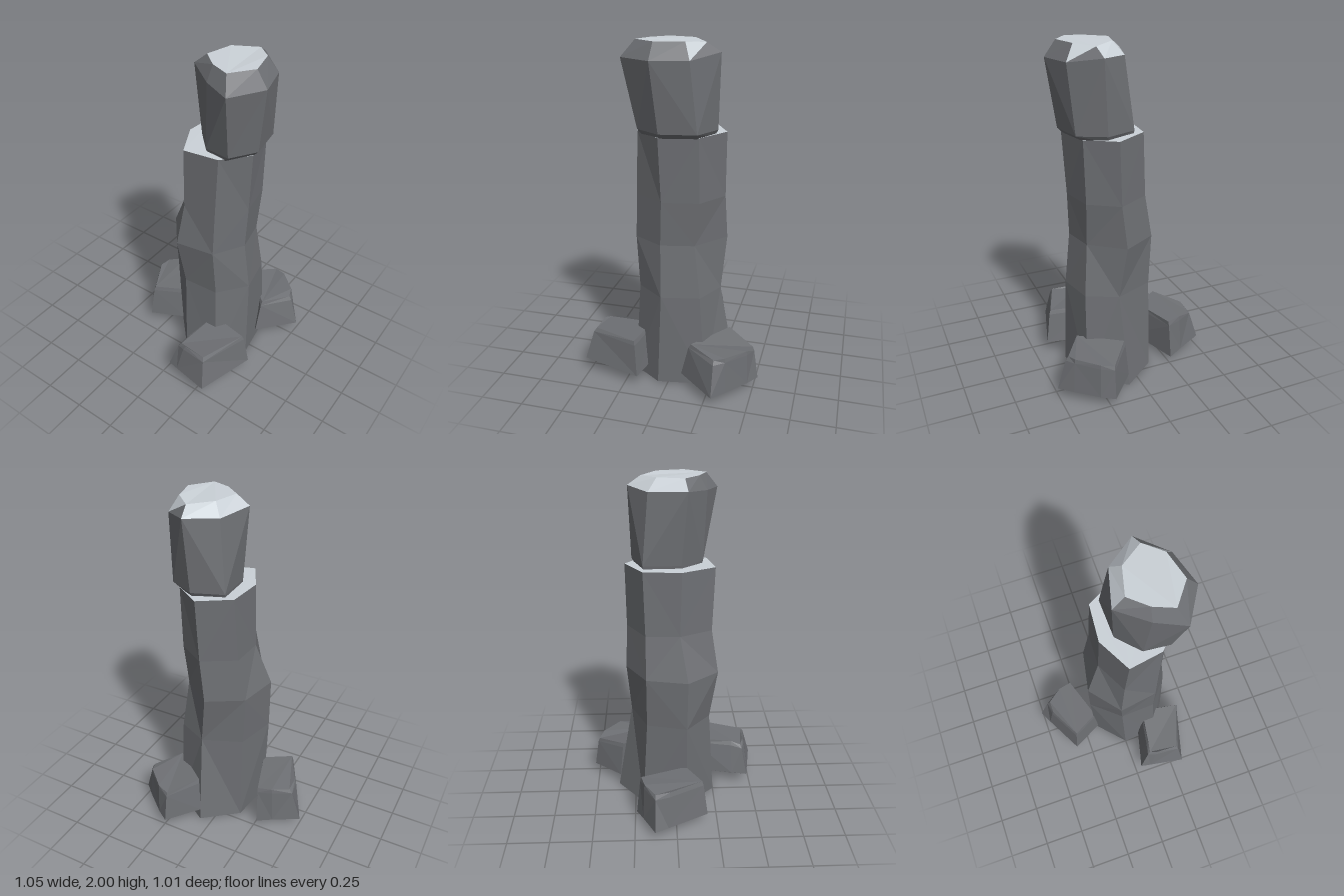
import * as THREE from 'three';

const stone = new THREE.MeshStandardMaterial({ color: 0x6e7074, flatShading: true, side: THREE.DoubleSide });
stone.name = 'darkStone';
const pale = new THREE.MeshStandardMaterial({ color: 0xcbd2d8, flatShading: true });
pale.name = 'paleStone';

// Facets from a flat list of corner points
function facets(name, points, material) {
  const g = new THREE.BufferGeometry();
  g.setAttribute('position', new THREE.Float32BufferAttribute(points.flat(), 3));
  g.computeVertexNormals();
  const m = new THREE.Mesh(g, material);
  m.name = name;
  return m;
}

// A ring of [x, z] corners, anticlockwise from above, lifted to y (number or list)
const ring = (y, xz) => xz.map(([x, z], i) => [x, Array.isArray(y) ? y[i] : y, z]);

// Two triangles for every side between neighbouring rings
function walls(rings) {
  const out = [];
  for (let r = 0; r + 1 < rings.length; r++) {
    const a = rings[r], b = rings[r + 1];
    a.forEach((p, i) => {
      const j = (i + 1) % a.length;
      if ((i + r) % 2) out.push(p, a[j], b[j], p, b[j], b[i]);
      else out.push(p, a[j], b[i], a[j], b[j], b[i]);
    });
  }
  return out;
}

function lid(r, up) {
  const out = [];
  for (let i = 1; i + 1 < r.length; i++) out.push(...(up ? [r[0], r[i], r[i + 1]] : [r[0], r[i + 1], r[i]]));
  return out;
}

// Loose stone: a bottom ring, a shoulder, and a smaller top
function boulder(name, bottomY, bottom, topY, top) {
  const low = ring(bottomY, bottom), high = ring(topY, top);
  const shoulder = low.map((p, i) => p.map((v, k) => v + (high[i][k] - v) * (k === 1 ? 0.88 : 0.75)));
  return facets(name, [...walls([low, shoulder, high]), ...lid(low, false), ...lid(high, true)], stone);
}

export function createModel() {
  const model = new THREE.Group();
  model.name = 'rockPillar';

  // Seven-sided shaft with uneven rings, open underneath
  const shaft = [
    ring(0, [[-0.25, 0], [-0.235, 0.215], [-0.06, 0.335], [0.22, 0.29], [0.36, 0.075], [0.2, -0.13], [-0.07, -0.165]]),
    ring(0.56, [[-0.215, -0.02], [-0.205, 0.195], [-0.04, 0.325], [0.18, 0.28], [0.265, 0.1], [0.17, -0.13], [-0.07, -0.19]]),
    ring(0.87, [[-0.26, -0.045], [-0.225, 0.185], [-0.05, 0.29], [0.14, 0.25], [0.29, 0.06], [0.17, -0.145], [-0.075, -0.195]]),
    ring(1.13, [[-0.22, -0.015], [-0.215, 0.19], [-0.04, 0.3], [0.17, 0.26], [0.28, 0.09], [0.17, -0.1], [-0.03, -0.11]]),
    ring([1.51, 1.505, 1.5, 1.5, 1.505, 1.51, 1.51],
      [[-0.235, 0], [-0.2, 0.2], [-0.05, 0.32], [0.165, 0.27], [0.285, 0.105], [0.18, -0.08], [-0.04, -0.1]]),
  ];
  model.add(facets('shaft', walls(shaft), stone));
  model.add(facets('shaftLedge', lid(shaft[4], true), pale));

  // Head stone leaning forward, tucked into the shaft, with a bevelled pale top
  const foot = ring(1.49, [[-0.17, 0.22], [-0.04, 0.31], [0.155, 0.265], [0.225, 0.15], [0.17, -0.02], [-0.04, -0.015], [-0.16, 0.1]]);
  const base = ring(1.525, [[-0.185, 0.25], [-0.04, 0.345], [0.165, 0.31], [0.245, 0.155], [0.18, -0.025], [-0.04, -0.02], [-0.17, 0.1]]);
  const rim = ring([1.91, 1.91, 1.91, 1.94, 1.93, 1.94, 1.92],
    [[-0.26, 0.28], [-0.07, 0.395], [0.13, 0.34], [0.26, 0.18], [0.145, 0.02], [-0.075, -0.04], [-0.19, 0.12]]);
  const crown = ring([2, 2, 2, 1.99, 2, 2, 2],
    [[-0.19, 0.235], [-0.065, 0.33], [0.095, 0.29], [0.185, 0.195], [0.095, 0.07], [-0.06, 0.03], [-0.145, 0.125]]);
  const darkBevel = [], paleBevel = [];
  rim.forEach((p, i) => {
    const j = (i + 1) % 7;
    (i === 3 || i === 4 ? paleBevel : darkBevel).push(p, rim[j], crown[j]);
    (i >= 2 && i <= 4 ? paleBevel : darkBevel).push(p, crown[j], crown[i]);
  });
  model.add(facets('headStone', [...walls([foot, base, rim]), ...darkBevel], stone));
  model.add(facets('headTop', [...lid(crown, true), ...paleBevel], pale));

  // Loose stones around the foot
  model.add(boulder('rightStone', [0.08, 0.08, 0.08, 0.07, 0.07, 0.075],
    [[-0.475, 0.035], [-0.487, 0.1], [-0.525, 0.32], [-0.165, 0.42], [-0.11, 0.13], [-0.38, 0.06]],
    [0.265, 0.28, 0.28, 0.285, 0.29, 0.285],
    [[-0.435, 0.105], [-0.455, 0.15], [-0.46, 0.285], [-0.19, 0.385], [-0.15, 0.15], [-0.375, 0.115]]));
  model.add(boulder('leftStone', [0.07, 0.06, 0.06, 0.06, 0.06, 0.07],
    [[0.08, 0.32], [0.3, 0.505], [0.37, 0.43], [0.475, 0.305], [0.525, 0.23], [0.35, 0.075]],
    [0.28, 0.265, 0.275, 0.27, 0.26, 0.295],
    [[0.14, 0.325], [0.3, 0.435], [0.36, 0.415], [0.465, 0.3], [0.49, 0.225], [0.325, 0.095]]));
  model.add(boulder('backStone', [0.06, 0.05, 0.03, 0.045, 0.06, 0.06],
    [[-0.19, -0.345], [-0.08, -0.14], [0.24, -0.265], [0.2, -0.355], [0.13, -0.51], [0.05, -0.47]],
    [0.285, 0.28, 0.275, 0.28, 0.27, 0.285],
    [[-0.155, -0.325], [-0.065, -0.165], [0.21, -0.255], [0.19, -0.34], [0.125, -0.43], [0.04, -0.43]]));

  return model;
}
